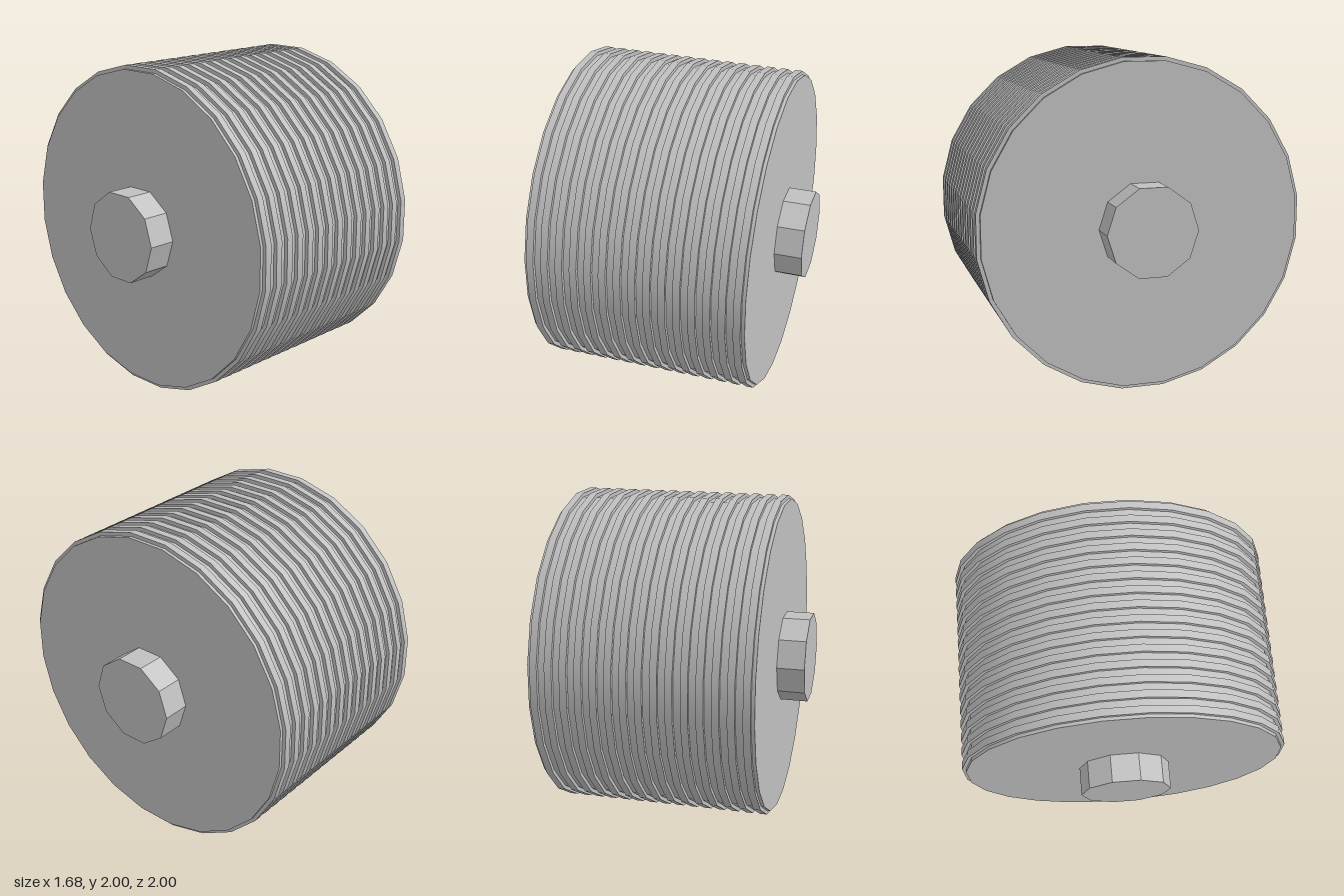
import * as THREE from 'three';

const SIDES = 24;
const HALF_STEP = Math.PI / SIDES;
const AXIS_Y = 1;

// Cylinder lying along x; radius is measured to the middle of a side
function drumGeometry(apothem, length) {
  const geometry = new THREE.CylinderGeometry(
    apothem / Math.cos(HALF_STEP), apothem / Math.cos(HALF_STEP), length, SIDES);
  geometry.rotateY(HALF_STEP); // flat sides at top, bottom, front and back
  geometry.rotateZ(Math.PI / 2);
  return geometry;
}

export function createModel() {
  const model = new THREE.Group();
  model.name = 'ribbedRoller';

  const grey = new THREE.MeshStandardMaterial({ color: 0xc0c0c0 });
  grey.name = 'grey';

  function add(name, geometry, x = 0) {
    const mesh = new THREE.Mesh(geometry, grey);
    mesh.name = name;
    mesh.position.set(x, AXIS_Y, 0);
    model.add(mesh);
  }

  // Drum core
  add('drum', drumGeometry(0.977, 1.34));

  // Evenly spaced raised ribs around the drum
  const ribCount = 15;
  const ribGeometry = drumGeometry(1, 0.044);
  for (let i = 0; i < ribCount; i++) {
    add(`rib${i + 1}`, ribGeometry, (i - (ribCount - 1) / 2) * 0.0897);
  }

  // Faceted axle stubs on both ends
  const stubLength = 0.17;
  const stub = new THREE.CylinderGeometry(0.28, 0.28, stubLength, 10)
    .rotateZ(Math.PI / 2).toNonIndexed();
  stub.computeVertexNormals();
  add('leftAxle', stub, 0.67 + stubLength / 2);
  add('rightAxle', stub, -0.67 - stubLength / 2);

  return model;
}
